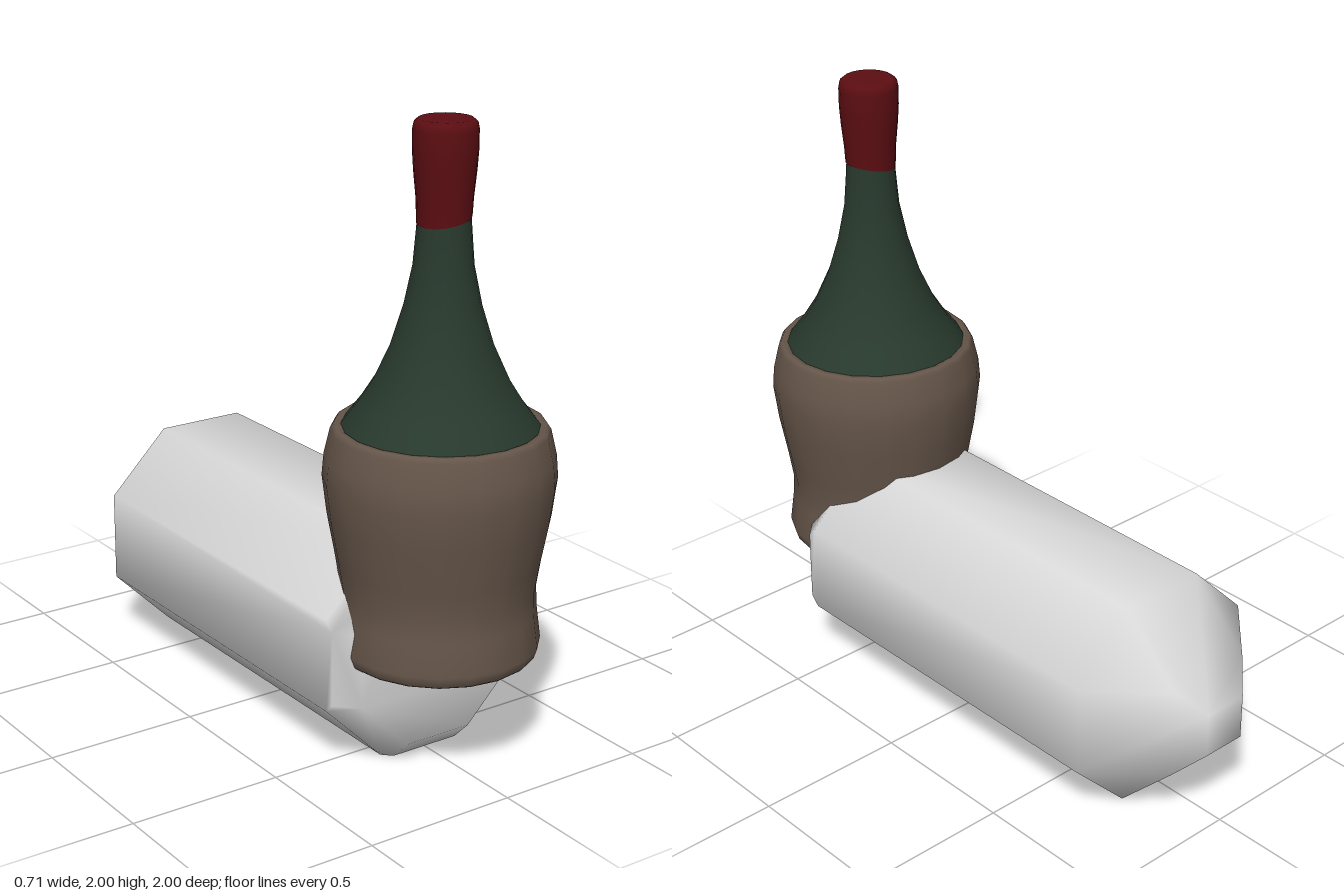
import * as THREE from 'three';
import { ConvexGeometry } from 'three/addons/geometries/ConvexGeometry.js';
import { mergeVertices } from 'three/addons/utils/BufferGeometryUtils.js';

const material = (name, color) => {
  const m = new THREE.MeshStandardMaterial({ color });
  m.name = name;
  return m;
};

// Turned part from [radius, height] pairs, bottom to top
function turned(name, profile, mat, sides = 20) {
  const points = profile.map(([r, y]) => new THREE.Vector2(r, y));
  const mesh = new THREE.Mesh(new THREE.LatheGeometry(points, sides), mat);
  mesh.name = name;
  return mesh;
}

// Long block with octagonal section, bevelled at both ends
function bevelledBlock(mat) {
  // [half extent, half extent, z], mirrored into all four quadrants and swapped
  const corners = [
    [0.075, 0.075, -1], [0.15, 0.15, -0.925], [0.355, 0.15, -0.72],
    [0.355, 0.15, 0.56], [0.355, 0.12, 0.59], [0.29, 0.12, 0.655],
  ];
  const points = [];
  for (const [a, b, z] of corners) {
    for (const sx of [-1, 1]) for (const sy of [-1, 1]) {
      points.push(new THREE.Vector3(sx * a, sy * b, z));
      if (a !== b) points.push(new THREE.Vector3(sx * b, sy * a, z));
    }
  }
  // Share vertices so the shading runs smoothly over the edges
  let geometry = new ConvexGeometry(points);
  geometry.deleteAttribute('normal');
  geometry = mergeVertices(geometry, 1e-4);
  geometry.computeVertexNormals();
  const mesh = new THREE.Mesh(geometry, mat);
  mesh.name = 'bevelledBlock';
  mesh.position.y = 0.355;
  return mesh;
}

export function createModel() {
  const glass = material('dark green glass', 0x28392d);
  const wicker = material('brown wicker', 0x66564a);
  const wax = material('dark red seal', 0x5c0e12);
  const pale = material('pale grey', 0xd8d8d8);

  const model = new THREE.Group();
  model.name = 'bottleAndBlock';
  model.add(bevelledBlock(pale));

  const bottle = new THREE.Group();
  bottle.name = 'bottle';
  bottle.position.set(-0.002, 0, 0.645);
  model.add(bottle);

  // Basket around the lower body, with a narrow rim
  bottle.add(turned('basket', [
    [0, 0.36], [0.295, 0.36], [0.305, 0.368], [0.315, 0.4], [0.302, 0.5], [0.298, 0.57],
    [0.312, 0.66], [0.338, 0.8], [0.353, 0.92], [0.347, 0.99], [0.328, 1.07],
    [0.318, 1.085], [0.3, 1.085], [0.28, 1.07],
  ], wicker));

  // Glass shoulder and neck
  bottle.add(turned('glassBody', [
    [0.305, 1.06], [0.296, 1.084], [0.246, 1.15], [0.202, 1.22], [0.152, 1.33],
    [0.115, 1.45], [0.09, 1.57], [0.081, 1.68], [0.077, 1.74],
  ], glass));

  // Seal over the mouth, its lower edge slightly slanted
  const seal = turned('seal', [
    [0.081, 1.705], [0.084, 1.77], [0.092, 1.85], [0.096, 1.91], [0.096, 1.97],
    [0.092, 1.99], [0.08, 2], [0, 2],
  ], wax);
  const p = seal.geometry.attributes.position;
  for (let i = 0; i < p.count; i++) {
    if (p.getY(i) < 1.72) p.setY(i, p.getY(i) + 0.18 * p.getX(i));
  }
  bottle.add(seal);

  return model;
}
